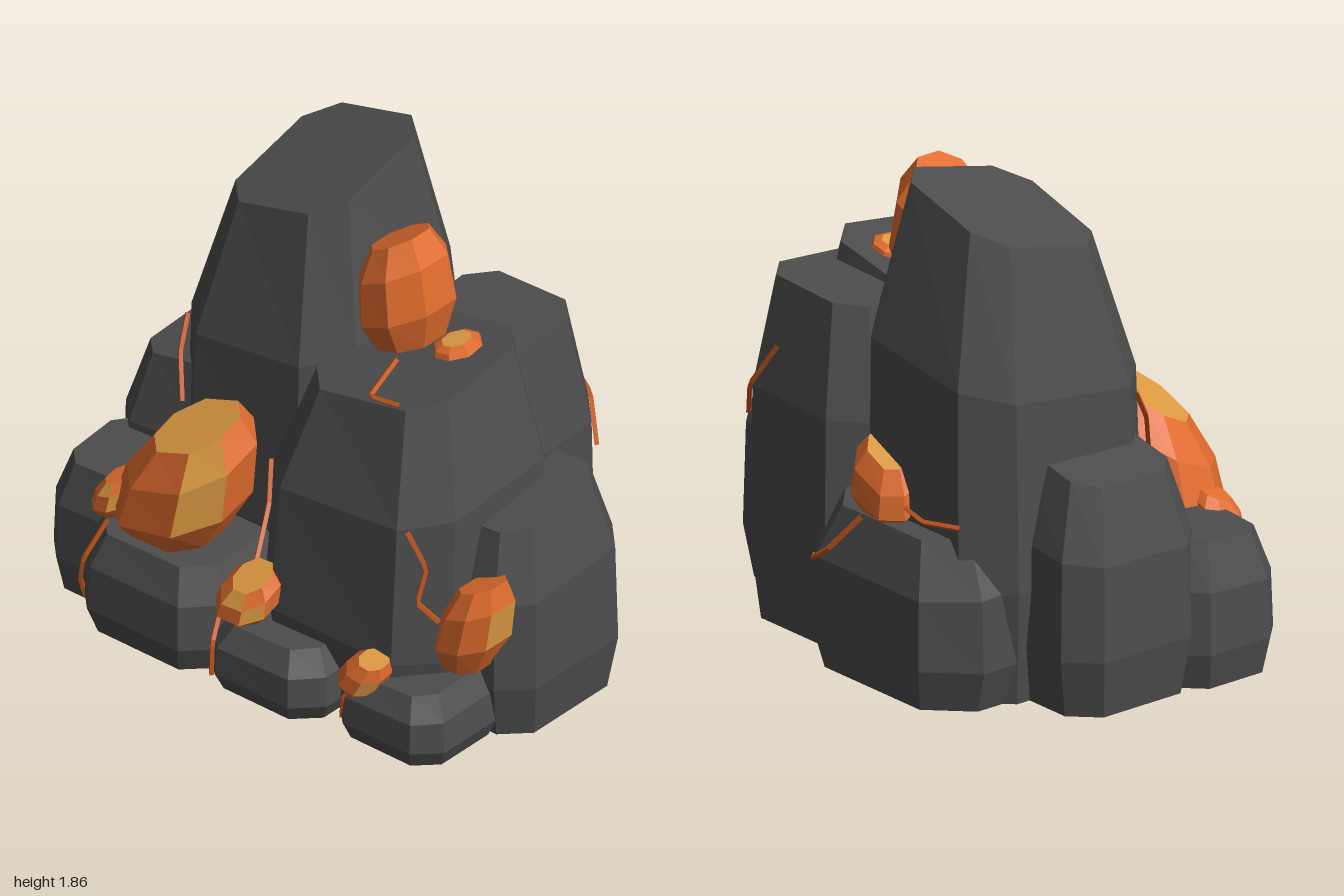
import * as THREE from 'three';

const material = (name, color) => {
  const m = new THREE.MeshStandardMaterial({ color, flatShading: true });
  m.name = name;
  return m;
};

// Rectangle with cut corners, as eight [x, z] points starting on the +x side
function octagon(hx, hz, cut) {
  const c = cut * Math.min(hx, hz);
  return [[hx, c - hz], [hx, hz - c], [hx - c, hz], [c - hx, hz],
    [-hx, hz - c], [-hx, c - hz], [c - hx, -hz], [hx - c, -hz]];
}

// Octagon ring at height y, sloping like a tilted cut and shifted in z by lean
function ring(hx, hz, cut, y, slopeX, slopeZ, lean = 0) {
  return octagon(hx, hz, cut).map(([x, z]) => [x, y + slopeX * x + slopeZ * z, z + lean]);
}

// Joins rings into a closed faceted stone.
// accents lists faces as 'band.side' or 'top' that take the second material.
function facetedStone(rings, accents = []) {
  const faces = [[], []];
  const add = (key, ...pts) => {
    const out = faces[accents.includes(key) ? 1 : 0];
    for (let k = 1; k < pts.length - 1; k++) out.push(...pts[0], ...pts[k], ...pts[k + 1]);
  };
  for (let j = 0; j < rings.length - 1; j++) {
    for (let i = 0; i < 8; i++) {
      const n = (i + 1) % 8;
      add(`${j}.${i}`, rings[j][i], rings[j + 1][i], rings[j + 1][n], rings[j][n]);
    }
  }
  add('bottom', ...rings[0]);
  add('top', ...[...rings[rings.length - 1]].reverse());
  const geo = new THREE.BufferGeometry();
  geo.setAttribute('position', new THREE.Float32BufferAttribute(faces.flat(), 3));
  geo.addGroup(0, faces[0].length / 3, 0);
  geo.addGroup(faces[0].length / 3, faces[1].length / 3, 1);
  geo.computeVertexNormals();
  return geo;
}

export function createModel() {
  const model = new THREE.Group();
  model.name = 'crystalRocks';
  const stone = material('dark stone', 0x4d4d4d);
  const orange = material('orange crystal', 0xe06c2e);
  const amber = material('amber crystal', 0xdf9c43);
  const veinColor = material('orange vein', 0xc85a20);

  const place = (name, geometry, mat, x, y, z, tilt = 0) => {
    const mesh = new THREE.Mesh(geometry, mat);
    mesh.name = name;
    mesh.position.set(x, y, z);
    mesh.rotation.z = tilt;
    model.add(mesh);
  };

  // A rock is widest low down, narrows above its shoulder and has a sloping top
  const rock = (name, x, z, hx, hz, height, topScale, slopeX, slopeZ, lean = 0, cut = 0.38) => {
    const profile = [[0, 0.89, 0], [0.25, 1, 0], [0.68, 0.97, 0.5], [1, topScale, 1]];
    const rings = profile.map(([t, s, k]) =>
      ring(hx * s, hz * s, cut, t * height, k * slopeX, k * slopeZ, k * lean));
    place(name, facetedStone(rings), stone, x, 0, z);
  };
  rock('tallRock', -0.29, -0.145, 0.4, 0.425, 1.74, 0.66, 0.27, -0.25, -0.02);
  rock('shoulderRock', 0.335, 0.13, 0.435, 0.4, 1.28, 0.71, 0.2, -0.14, -0.06);
  rock('backRightRock', 0.375, -0.28, 0.33, 0.32, 1.29, 0.75, 0.04, -0.08);
  rock('rightRock', 0.72, -0.04, 0.28, 0.33, 0.84, 0.73, 0.06, -0.12);
  rock('leftRock', -0.68, -0.055, 0.29, 0.31, 0.89, 0.72, 0.2, -0.05);
  rock('frontLeftRock', -0.76, 0.35, 0.24, 0.22, 0.55, 0.74, 0.06, -0.1);
  rock('frontRock', -0.44, 0.4, 0.33, 0.31, 0.42, 0.8, 0.02, -0.04);
  rock('frontMiddleRock', 0.1, 0.43, 0.27, 0.26, 0.27, 0.76, 0.04, -0.04);
  rock('frontRightRock', 0.635, 0.4, 0.245, 0.23, 0.27, 0.76, 0.06, -0.04);
  rock('backRock', -0.2, -0.42, 0.46, 0.3, 0.65, 0.74, 0, 0.12, 0, 0.55);

  // A crystal tapers at both ends, leans by its tilt and is cut off at a slope
  const crystal = (name, x, y, z, hx, hz, length, tilt, slopeX, slopeZ, accents = []) => {
    const profile = [[-0.5, 0.7, 0.4], [-0.2, 1, 0.7], [0.22, 0.92, 0.9], [0.5, 0.6, 1]];
    const rings = profile.map(([t, s, k]) =>
      ring(hx * s, hz * s, 0.6, t * length, k * slopeX, k * slopeZ));
    place(name, facetedStone(rings, accents), [orange, amber], x, y, z, tilt);
  };
  crystal('topCrystal', 0.205, 1.475, -0.03, 0.165, 0.18, 0.41, 0.12, 0.4, 0);
  crystal('largeFrontCrystal', -0.395, 0.66, 0.46, 0.235, 0.2, 0.46, -0.2, 0.62, -0.5, ['top', '1.1', '2.1']);
  crystal('leftSmallCrystal', -0.675, 0.5, 0.52, 0.07, 0.085, 0.16, -0.2, 0.6, -0.3, ['1.1', '2.2']);
  crystal('middleSmallCrystal', -0.02, 0.37, 0.56, 0.11, 0.1, 0.16, -0.2, 0.3, -0.7, ['top', '1.1', '2.2']);
  crystal('rightSmallCrystal', 0.525, 0.265, 0.56, 0.08, 0.075, 0.17, -0.5, 0.4, -0.5, ['top', '1.1']);
  crystal('rightCrystal', 0.825, 0.485, 0.31, 0.115, 0.14, 0.36, -0.2, 0.65, 0, ['1.0']);
  crystal('ledgeCrystal', 0.44, 1.325, -0.04, 0.085, 0.09, 0.05, 0.2, 0, -0.1, ['top']);
  crystal('backCrystal', -0.13, 0.75, -0.55, 0.145, 0.11, 0.24, 0.05, 0.4, 0.5, ['top', '2.0']);

  // Thin veins run in straight pieces over the rocks near each crystal
  const vein = (name, ...points) => {
    const path = new THREE.CurvePath();
    const v = points.map((p) => new THREE.Vector3(...p));
    for (let i = 1; i < v.length; i++) path.add(new THREE.LineCurve3(v[i - 1], v[i]));
    place(name, new THREE.TubeGeometry(path, 12, 0.011, 4), veinColor, 0, 0, 0);
  };
  vein('tallRockVein', [-0.67, 1.07, 0.14], [-0.645, 0.95, 0.21], [-0.58, 0.8, 0.275]);
  vein('gapVein', [-0.15, 0.75, 0.29], [-0.1, 0.61, 0.36], [-0.04, 0.46, 0.5]);
  vein('frontRockVein', [-0.64, 0.44, 0.61], [-0.7, 0.28, 0.672], [-0.73, 0.17, 0.655], [-0.73, 0.08, 0.625]);
  vein('middleVein', [-0.11, 0.32, 0.6], [-0.08, 0.2, 0.69], [-0.085, 0.06, 0.69]);
  vein('lowRightVein', [0.53, 0.25, 0.58], [0.47, 0.16, 0.62], [0.44, 0.06, 0.59]);
  vein('shoulderVein', [0.64, 0.87, 0.468], [0.7, 0.72, 0.43], [0.68, 0.58, 0.46], [0.74, 0.5, 0.41]);
  vein('ledgeVein', [0.29, 1.275, 0.12], [0.35, 1.255, 0.335], [0.5, 1.28, 0.34]);
  vein('backRightVein', [0.46, 1.08, -0.57], [0.58, 0.9, -0.6], [0.67, 0.75, -0.53]);
  vein('backVein', [-0.1, 0.62, -0.65], [0.015, 0.47, -0.72], [0.09, 0.42, -0.72], [0.2, 0.37, -0.62]);
  vein('backLeftVein', [-0.22, 0.69, -0.58], [-0.38, 0.67, -0.6], [-0.55, 0.69, -0.57]);
  return model;
}
